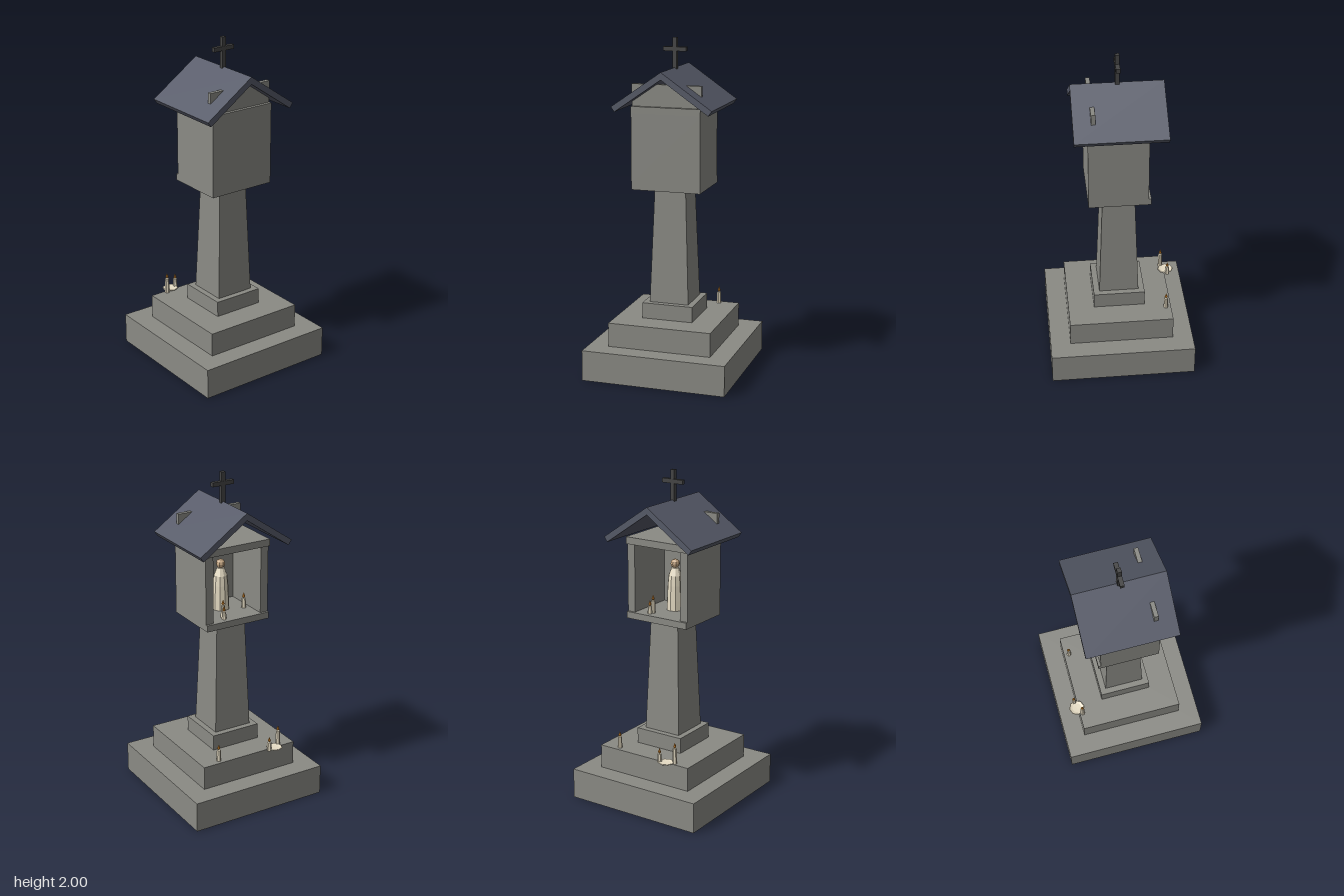
import * as THREE from 'three';

const mat = (color) => new THREE.MeshStandardMaterial({ color, flatShading: true });

export function createModel() {
  const root = new THREE.Group();
  const stone = mat(0x8a8a84);
  const slate = mat(0x565a68);
  const iron = mat(0x444444);
  const wax = mat(0xe6dcc4);
  const fire = mat(0xd98a2b);

  const add = (name, geometry, material, x = 0, y = 0, z = 0, parent = root) => {
    const mesh = new THREE.Mesh(geometry, material);
    mesh.name = name;
    mesh.position.set(x, y, z);
    parent.add(mesh);
    return mesh;
  };
  // Box given by its low and high limits on each axis
  const block = (name, material, [x0, x1], [y0, y1], [z0, z1]) =>
    add(name, new THREE.BoxGeometry(x1 - x0, y1 - y0, z1 - z0), material,
      (x0 + x1) / 2, (y0 + y1) / 2, (z0 + z1) / 2);

  // Stepped base
  [[0.437, 0, 0.185], [0.315, 0.185, 0.33], [0.156, 0.33, 0.425]].forEach(([h, y0, y1], i) =>
    block(`baseStep${i + 1}`, stone, [-h, h], [y0, y1], [-h, h]));

  // Tapered square shaft
  const shaft = new THREE.CylinderGeometry(0.095 * Math.SQRT2, 0.12 * Math.SQRT2, 0.695, 4);
  shaft.rotateY(Math.PI / 4);
  add('shaft', shaft, stone, 0, 0.7725, 0);

  // Niche, open at the back
  block('nicheFloor', stone, [-0.21, 0.21], [1.12, 1.16], [-0.18, 0.185]);
  block('nicheCeiling', stone, [-0.21, 0.21], [1.57, 1.612], [-0.18, 0.185]);
  block('nicheWall', stone, [-0.21, 0.21], [1.16, 1.57], [0.14, 0.185]);
  block('rightNicheSide', stone, [-0.21, -0.16], [1.16, 1.57], [-0.165, 0.14]);
  block('leftNicheSide', stone, [0.16, 0.21], [1.16, 1.57], [-0.165, 0.14]);
  block('gablePanel', stone, [-0.21, 0.21], [1.612, 1.742], [0.14, 0.165]);

  // Pitched roof as one chevron profile
  const profile = new THREE.Shape([
    [0, 1.825], [-0.302, 1.617], [-0.281, 1.588], [0, 1.782], [0.281, 1.588], [0.302, 1.617],
  ].map(([x, y]) => new THREE.Vector2(x, y)));
  add('roof', new THREE.ExtrudeGeometry(profile, { depth: 0.534, bevelEnabled: false }), slate, 0, 0, -0.267);

  // Cross on the ridge
  block('crossUpright', iron, [-0.013, 0.013], [1.8, 2], [-0.012, 0.012]);
  block('crossBar', iron, [-0.07, 0.07], [1.92, 1.945], [-0.0125, 0.0125]);

  // Statue: robed figure turned on a lathe, with a head
  const statue = new THREE.Group();
  statue.name = 'statue';
  statue.position.set(0, 1.16, 0.02);
  root.add(statue);
  const robe = [[0, 0], [0.052, 0], [0.05, 0.06], [0.046, 0.15], [0.04, 0.21], [0.022, 0.255], [0, 0.26]];
  add('robe', new THREE.LatheGeometry(robe.map(([r, y]) => new THREE.Vector2(r, y)), 10), wax, 0, 0, 0, statue);
  add('head', new THREE.SphereGeometry(0.028, 8, 6), mat(0xc4a683), 0, 0.28, 0, statue);

  // Offering dish at the edge of the second step
  const dish = [[0, 0], [0.034, 0], [0.049, 0.008], [0.046, 0.011], [0.03, 0.007], [0, 0.006]];
  add('dish', new THREE.LatheGeometry(dish.map(([r, y]) => new THREE.Vector2(r, y)), 8), wax, -0.17, 0.33, -0.325);

  // Candles: x, floor height, z, wax height
  [
    [0.196, 0.33, -0.283, 0.07],
    [-0.212, 0.33, -0.297, 0.095],
    [-0.128, 0.33, -0.332, 0.055],
    [0.065, 1.16, -0.115, 0.075],
    [0.072, 1.16, -0.138, 0.045],
    [-0.12, 1.16, -0.045, 0.06],
  ].forEach(([x, y, z, h]) => {
    const candle = new THREE.Group();
    candle.name = 'candle';
    candle.position.set(x, y, z);
    root.add(candle);
    add('candleWax', new THREE.CylinderGeometry(0.012, 0.014, h, 6), wax, 0, h / 2, 0, candle);
    const flame = [[0, 0], [0.009, 0.01], [0.006, 0.02], [0, 0.036]];
    add('flame', new THREE.LatheGeometry(flame.map(([r, t]) => new THREE.Vector2(r, t)), 6), fire, 0, h, 0, candle);
  });

  return root;
}
